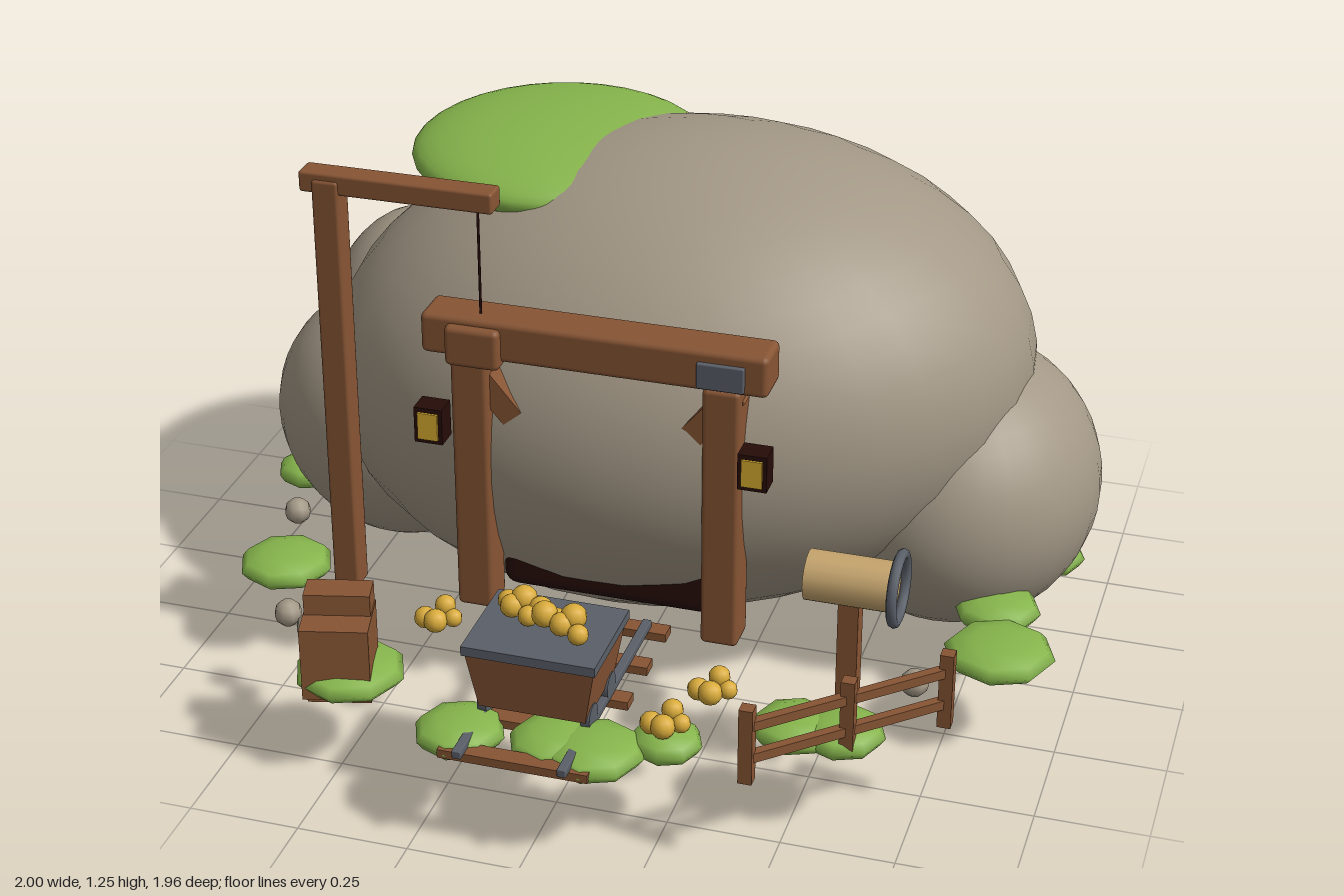
import * as THREE from 'three';
import { RoundedBoxGeometry } from 'three/addons/geometries/RoundedBoxGeometry.js';

const mat = (name, color) => {
  const m = new THREE.MeshStandardMaterial({ color });
  m.name = name;
  return m;
};

export function createModel() {
  const root = new THREE.Group();
  root.name = 'mineEntrance';
  const rock = mat('rock', 0xa39886), moss = mat('moss', 0x86b54c), wood = mat('wood', 0x875534);
  const dark = mat('dark', 0x260c08), iron = mat('iron', 0x5a5f68), gold = mat('gold', 0xd9ab3a);
  const tan = mat('tan', 0xc6a56e), glow = mat('lampGlow', 0xdcae30);

  const add = (name, geo, m, pos, rot = [0, 0, 0], parent = root) => {
    const mesh = new THREE.Mesh(geo, m);
    mesh.name = name;
    mesh.position.set(...pos);
    mesh.rotation.set(...rot);
    parent.add(mesh);
    return mesh;
  };
  // softly rounded timber given by its lower and upper corner
  const span = (name, m, a, b) => {
    const size = a.map((v, i) => b[i] - v);
    return add(name, new RoundedBoxGeometry(...size, 2, Math.min(...size) * 0.14), m, a.map((v, i) => (v + b[i]) / 2));
  };
  const box = (name, m, size, pos, rot, parent) => add(name, new THREE.BoxGeometry(...size), m, pos, rot, parent);
  const blob = (name, m, pos, r, rot) =>
    add(name, new THREE.SphereGeometry(1, 32, 24).scale(...r), m, pos, rot);
  // coarse lump with few sides
  const lump = (name, m, pos, r) => add(name, new THREE.SphereGeometry(1, 8, 6).scale(...r), m, pos);

  // hill and the boulders around its back and sides
  blob('hill', rock, [-0.02, 0.607, -0.24], [0.85, 0.562, 0.645], [0.04, 0, 0.12]);
  [
    [[0.66, 0.4, -0.24], [0.335, 0.335, 0.37]],
    [[0.4, 0.49, -0.6], [0.37, 0.4, 0.365]],
    [[0.1, 0.41, -0.66], [0.33, 0.35, 0.32]],
    [[-0.1, 0.36, -0.68], [0.24, 0.3, 0.25]],
    [[-0.48, 0.43, -0.53], [0.43, 0.42, 0.41]],
    [[-0.73, 0.45, -0.41], [0.25, 0.37, 0.27]],
    [[-0.69, 0.41, -0.16], [0.31, 0.32, 0.25]],
  ].forEach(([p, r]) => blob('boulder', rock, p, r));
  blob('mossCap', moss, [-0.33, 1.07, -0.325], [0.35, 0.085, 0.355]);

  // dark tunnel mouth
  span('tunnelMouth', dark, [-0.28, 0.245, 0.05], [0.27, 0.88, 0.3]);

  // ground bushes: x, z, radius
  [
    [-0.8, 0.33, 0.11], [-0.485, 0.71, 0.125], [-0.175, 0.86, 0.1], [0.03, 0.84, 0.1], [0.12, 0.85, 0.11],
    [0.255, 0.77, 0.078], [0.5, 0.64, 0.095], [0.6, 0.63, 0.095], [0.86, 0.23, 0.125], [0.82, 0.05, 0.1],
    [0.89, -0.22, 0.085], [0.69, -0.56, 0.09], [0.4, -0.88, 0.09], [-0.14, -0.87, 0.09], [-0.92, -0.1, 0.08],
  ].forEach(([x, z, r]) => lump('bush', moss, [x, 0.235, z], [r, 0.038, r]));

  // loose stones
  [[-0.86, 0.12], [-0.7, 0.55], [-0.63, 0.59], [0.71, 0.42]].forEach(([x, z]) =>
    lump('stone', rock, [x, 0.247, z], [0.032, 0.032, 0.032]));

  // entrance frame
  span('lintel', wood, [-0.42, 0.865, 0.28], [0.36, 0.96, 0.385]);
  span('leftPost', wood, [0.215, 0.235, 0.295], [0.3, 0.87, 0.385]);
  span('rightPost', wood, [-0.355, 0.235, 0.295], [-0.27, 0.87, 0.385]);
  span('woodBracket', wood, [-0.36, 0.85, 0.3], [-0.235, 0.945, 0.405]);
  span('ironBracket', iron, [0.205, 0.875, 0.37], [0.31, 0.935, 0.395]);
  for (const s of [-1, 1]) {
    box('brace', wood, [0.055, 0.2, 0.06], [-0.025 + s * 0.245, 0.78, 0.335], [0, 0, -s * 0.7]);
  }

  // lanterns
  for (const x of [-0.393, 0.34]) {
    box('lantern', dark, [0.065, 0.085, 0.055], [x, 0.708, 0.4]);
    box('lanternGlass', glow, [0.046, 0.064, 0.006], [x, 0.708, 0.43]);
  }

  // hoist
  span('hoistPost', wood, [-0.66, 0.23, 0.32], [-0.598, 1.24, 0.38]);
  span('hoistArm', wood, [-0.69, 1.207, 0.318], [-0.25, 1.255, 0.375]);
  add('rope', new THREE.CylinderGeometry(0.003, 0.003, 0.29, 6), dark, [-0.292, 1.07, 0.347]);

  // track
  for (const x of [-0.14, 0.09]) span('rail', iron, [x - 0.01, 0.246, 0.37], [x + 0.01, 0.265, 0.977]);
  for (let i = 0; i < 5; i++) box('sleeper', wood, [0.33, 0.02, 0.042], [-0.025, 0.238, 0.375 + i * 0.1405]);

  // mine cart: tapered tub, iron rim, wheels
  const tub = new THREE.BoxGeometry(0.285, 0.135, 0.225);
  const tp = tub.attributes.position;
  for (let i = 0; i < tp.count; i++) {
    if (tp.getY(i) < 0) tp.setXYZ(i, tp.getX(i) * 0.83, tp.getY(i), tp.getZ(i) * 0.88);
  }
  tub.computeVertexNormals();
  add('cartTub', tub, wood, [-0.025, 0.35, 0.727]);
  box('cartRim', iron, [0.295, 0.022, 0.24], [-0.025, 0.426, 0.727]);
  for (const x of [-0.14, 0.09]) for (const z of [0.665, 0.79]) {
    add('cartWheel', new THREE.CylinderGeometry(0.03, 0.03, 0.02, 12), iron, [x, 0.278, z], [0, 0, Math.PI / 2]);
  }

  // gold nuggets in the cart and in three piles
  const nugget = (x, y, z, r) => add('nugget', new THREE.SphereGeometry(r, 10, 8), gold, [x, y, z]);
  for (let i = 0; i < 10; i++) {
    const t = i / 9;
    nugget(-0.125 + t * 0.185, 0.46 + (i % 3) * 0.01, 0.69 + t * 0.06 + (i % 2 ? 0.016 : -0.012), 0.023 + (i % 3) * 0.003);
  }
  for (const [x, z] of [[-0.35, 0.53], [0.31, 0.63], [0.25, 0.78]]) {
    nugget(x - 0.025, 0.285, z + 0.005, 0.025);
    nugget(x + 0.005, 0.29, z + 0.02, 0.027);
    nugget(x + 0.038, 0.29, z - 0.003, 0.021);
    nugget(x + 0.015, 0.31, z - 0.018, 0.024);
  }

  // chest with a raised back half
  const chest = new THREE.Group();
  chest.name = 'chest';
  chest.position.set(-0.502, 0, 0.725);
  chest.rotation.y = 0.25;
  root.add(chest);
  box('chestBody', wood, [0.15, 0.175, 0.135], [0, 0.293, 0], [0, 0, 0], chest);
  box('chestLid', wood, [0.145, 0.05, 0.068], [0, 0.405, -0.033], [0, 0, 0], chest);
  box('chestFoot', wood, [0.14, 0.06, 0.045], [0, 0.207, 0.01], [0, 0, 0], chest);

  // barrel on a stand, with an iron hoop
  box('barrelStand', wood, [0.045, 0.24, 0.045], [0.575, 0.35, 0.478]);
  add('barrel', new THREE.CylinderGeometry(0.056, 0.056, 0.19, 16), tan, [0.575, 0.513, 0.475], [0, 0, Math.PI / 2]);
  add('hoop', new THREE.TorusGeometry(0.074, 0.012, 8, 24), iron, [0.677, 0.513, 0.477], [0, Math.PI / 2, 0]);

  // diagonal fence
  const angle = Math.atan2(0.32, 0.35);
  for (const t of [-1, 0, 1]) {
    box('fencePost', wood, [0.03, 0.18, 0.03], [0.625 + t * 0.175, 0.318, 0.69 - t * 0.16]);
  }
  for (const y of [0.285, 0.363]) box('fenceRail', wood, [0.474, 0.022, 0.02], [0.625, y, 0.69], [0, angle, 0]);

  return root;
}
